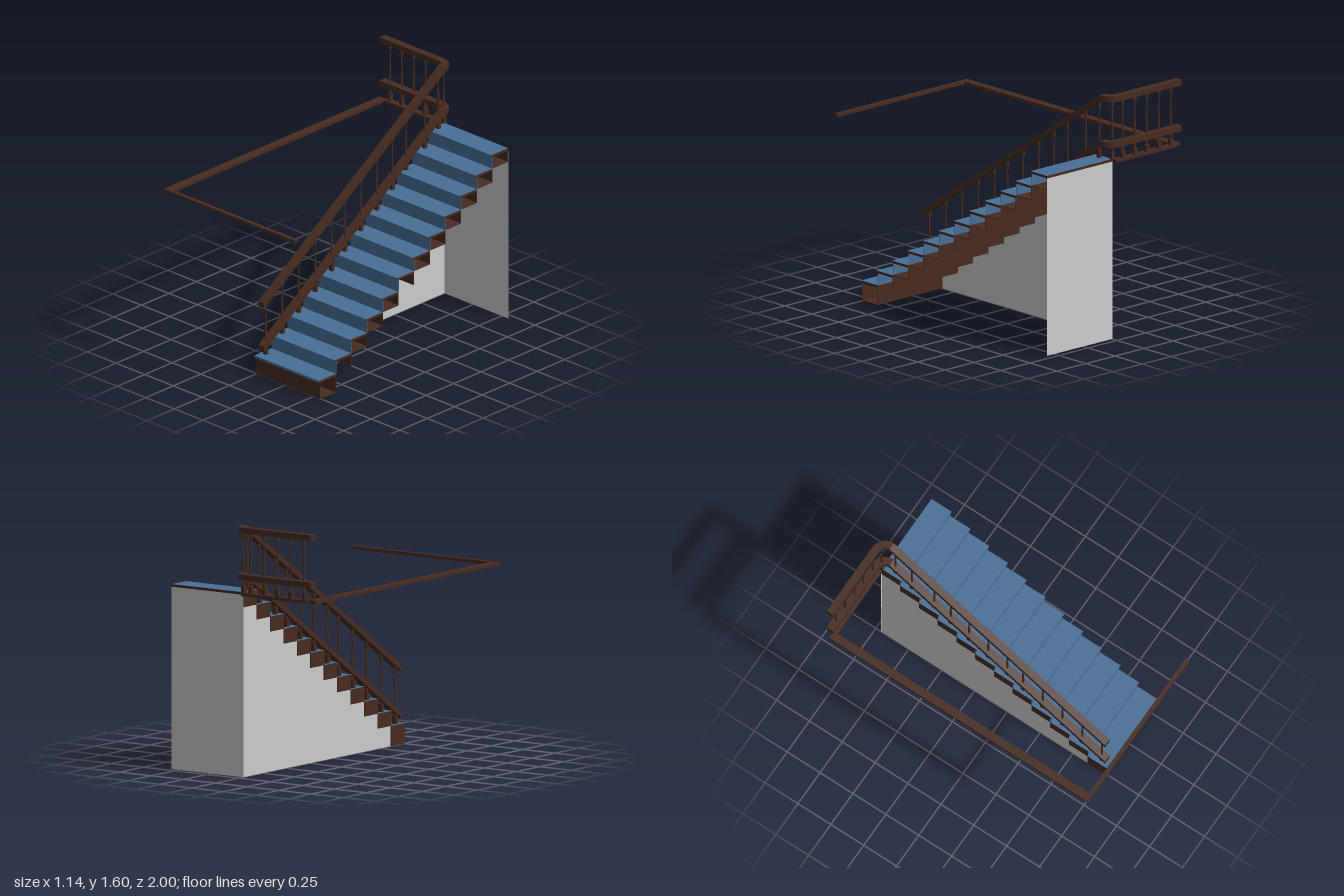
import * as THREE from 'three';

const wood = new THREE.MeshStandardMaterial({ color: 0x472b20 });
wood.name = 'dark wood';
const carpet = new THREE.MeshStandardMaterial({ color: 0x486f96 });
carpet.name = 'blue carpet';
const plaster = new THREE.MeshStandardMaterial({ color: 0xcccccc, side: THREE.DoubleSide });
plaster.name = 'grey plaster';

const STEPS = 12, RUN = 0.1425, RISE = 0.0955, FIRST_TOP = 0.13;
const X0 = -0.005, X1 = 0.56, PANEL = 0.004, TREAD = 0.016;
const RAIL_X = 0.03, RAIL_Z = -0.972, SLOPE = 1.1 / 1.64;

const treadTop = (k) => FIRST_TOP + k * RISE;
const stepFront = (k) => 0.756 - k * RUN;

// Box given by its minimum and maximum corners
function box(name, material, x0, x1, y0, y1, z0, z1) {
  const mesh = new THREE.Mesh(new THREE.BoxGeometry(x1 - x0, y1 - y0, z1 - z0), material);
  mesh.position.set((x0 + x1) / 2, (y0 + y1) / 2, (z0 + z1) / 2);
  mesh.name = name;
  return mesh;
}

// Hollow step, open at its left end, with an overhanging tread
function makeStep(k) {
  const step = new THREE.Group();
  step.name = 'step';
  const top = treadTop(k), y1 = top - TREAD, y0 = k ? treadTop(k - 1) : 0;
  const zf = stepFront(k), zb = zf - RUN;
  step.add(
    box('tread', [wood, wood, carpet, carpet, carpet, wood], X0, X1, y1, top, zb, zf + 0.01),
    box('riser', k ? carpet : wood, X0 + PANEL, X1, y0, y1, zf - PANEL, zf),
    box('stepBack', wood, X0 + PANEL, X1, y0, y1, zb, zb + PANEL),
    box('stepEnd', wood, X0, X0 + PANEL, y0, y1, zb, zf)
  );
  // two of the steps have no bottom board
  if (k !== 1 && k !== 5) {
    step.add(box('stepBottom', wood, X0 + PANEL, X1, y0, y0 + PANEL, zb + PANEL, zf - PANEL));
  }
  return step;
}

// Stepped wall closing the railing side, and the flat back wall
function makeWalls() {
  const walls = new THREE.Group();
  walls.name = 'walls';
  const back = stepFront(STEPS - 1) - RUN - 0.002;
  const shape = new THREE.Shape();
  shape.moveTo(-stepFront(1), 0);
  for (let k = 1; k < STEPS; k++) {
    shape.lineTo(-stepFront(k), treadTop(k - 1));
    shape.lineTo(-stepFront(k) + RUN, treadTop(k - 1));
  }
  shape.lineTo(-back, 0);
  const side = new THREE.Mesh(new THREE.ShapeGeometry(shape).rotateY(Math.PI / 2), plaster);
  side.name = 'sideWall';
  const height = treadTop(STEPS - 1) - TREAD;
  const rear = new THREE.Mesh(new THREE.PlaneGeometry(X1 - X0, height), plaster);
  rear.position.set((X0 + X1) / 2, height / 2, back);
  rear.name = 'backWall';
  walls.add(side, rear);
  return walls;
}

// Centre line of a rail: up the slope, level, round the corner, along the landing
function railPath(top) {
  const path = [[RAIL_X, top - 1.64 * SLOPE, 0.74], [RAIL_X, top, -0.9]];
  const r = 0.072;
  for (let i = 1; i <= 8; i++) {
    const a = (i / 8) * Math.PI / 2;
    path.push([RAIL_X - r + r * Math.cos(a), top, -0.9 - r * Math.sin(a)]);
  }
  path.push([-0.56, top, RAIL_Z]);
  return path.map((p) => new THREE.Vector3(...p));
}

// Rectangular rail swept along the path with upright cross-sections
function makeRail(name, top) {
  const path = railPath(top), w = 0.025, h = 0.037;
  const rings = path.map((p, i) => {
    const t = path[Math.min(i + 1, path.length - 1)].clone().sub(path[Math.max(i - 1, 0)]);
    const n = new THREE.Vector3(-t.z, 0, t.x).normalize().multiplyScalar(w);
    const a = p.clone().add(n), b = p.clone().sub(n);
    return [a, b, b.clone().setY(p.y - h), a.clone().setY(p.y - h)];
  });
  const pos = [];
  const quad = (a, b, c, d) => [a, b, c, a, c, d].forEach((v) => pos.push(v.x, v.y, v.z));
  for (let i = 0; i < rings.length - 1; i++) {
    for (let j = 0; j < 4; j++) {
      const m = (j + 1) % 4;
      quad(rings[i][j], rings[i + 1][j], rings[i + 1][m], rings[i][m]);
    }
  }
  const s = rings[0], e = rings[rings.length - 1];
  quad(s[0], s[1], s[2], s[3]);
  quad(e[3], e[2], e[1], e[0]);
  const geometry = new THREE.BufferGeometry();
  geometry.setAttribute('position', new THREE.Float32BufferAttribute(pos, 3));
  geometry.computeVertexNormals();
  const mesh = new THREE.Mesh(geometry, wood);
  mesh.name = name;
  return mesh;
}

// Turned baluster on a square foot
function makeBaluster(x, z, y0, y1) {
  const g = new THREE.Group();
  g.name = 'baluster';
  const h = y1 - y0;
  const profile = [[0.008, 0.045], [0.01, 0.07], [0.005, 0.09], [0.0075, 0.16], [0.0065, 0.22],
    [0.0045, h - 0.06], [0.008, h - 0.05], [0.011, h - 0.04], [0.011, h]];
  const spindle = new THREE.Mesh(
    new THREE.LatheGeometry(profile.map((p) => new THREE.Vector2(...p)), 10), wood);
  spindle.name = 'spindle';
  g.add(box('foot', wood, -0.0125, 0.0125, 0, 0.05, -0.0125, 0.0125), spindle);
  g.position.set(x, y0, z);
  return g;
}

export function createModel() {
  const model = new THREE.Group();
  model.name = 'staircase';

  const stairs = new THREE.Group();
  stairs.name = 'steps';
  for (let k = 0; k < STEPS; k++) stairs.add(makeStep(k));
  model.add(stairs, makeWalls());

  // Handrail and lower rail
  const railing = new THREE.Group();
  railing.name = 'railing';
  railing.add(makeRail('handrail', 1.6), makeRail('lowerRail', 1.3));

  // One baluster on each step
  [0.7, 0.55, 0.4, 0.25, 0.1, -0.02, -0.165, -0.31, -0.45, -0.575, -0.745, -0.87].forEach((z, k) => {
    railing.add(makeBaluster(RAIL_X, z, treadTop(k), 1.575 - (z + 0.9) * SLOPE));
  });
  // Balusters along the landing
  [-0.49, -0.387, -0.283, -0.18, -0.075].forEach((x) => {
    railing.add(makeBaluster(x, RAIL_Z, 1.175, 1.575));
  });
  railing.add(makeBaluster(-0.003, -0.953, 1.175, 1.575));
  model.add(railing);

  // Trim around the stairwell opening
  const trim = new THREE.Group();
  trim.name = 'landingTrim';
  trim.add(
    box('frontTrim', wood, -0.575, 0.57, 1.16, 1.18, 0.972, 1),
    box('sideTrim', wood, -0.575, -0.52, 1.16, 1.18, -0.965, 0.972),
    box('backTrim', wood, -0.52, -0.005, 1.16, 1.18, -0.985, -0.942)
  );
  model.add(trim);
  return model;
}
